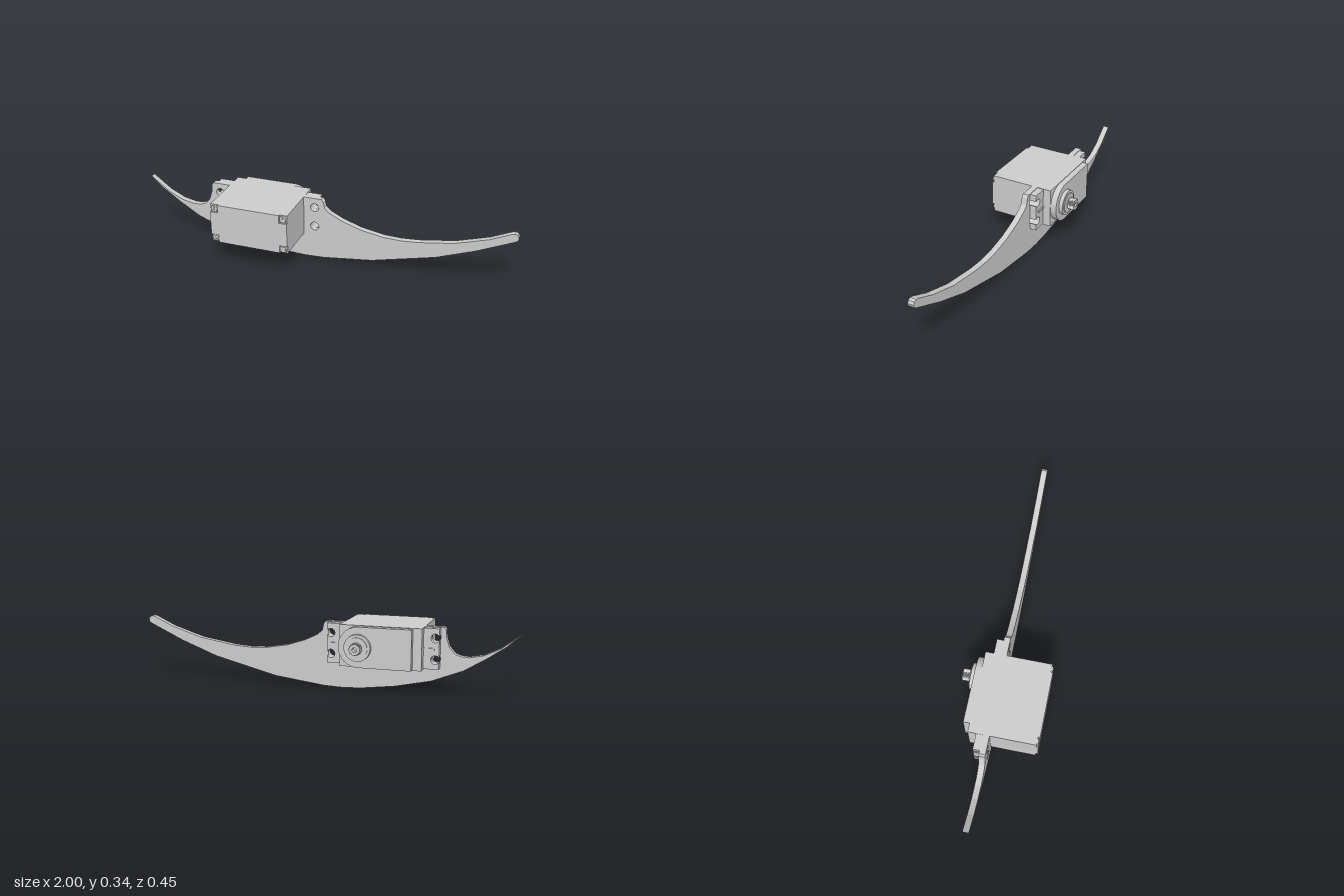
import * as THREE from 'three';

const MAT = new THREE.MeshStandardMaterial({ color: 0xcccccc });
const CX = -0.32, CY = 0.237;      // centre of the servo case
const HW = 0.21, HH = 0.106;       // half width and height of the case
const SHAFT_X = -0.215;            // output shaft axis

const shapeOf = (pts) => new THREE.Shape(pts.map(([x, y]) => new THREE.Vector2(x, y)));

function hole(x, y, r) {
  const p = new THREE.Path();
  p.absarc(x, y, r, 0, Math.PI * 2, true);
  return p;
}

function add(parent, name, geometry) {
  const mesh = new THREE.Mesh(geometry, MAT);
  mesh.name = name;
  parent.add(mesh);
  return mesh;
}

// Extrude a shape between two z values
function slab(parent, name, shape, z0, z1) {
  const g = new THREE.ExtrudeGeometry(shape, { depth: z1 - z0, bevelEnabled: false, curveSegments: 16 });
  g.translate(0, 0, z0);
  return add(parent, name, g);
}

// Cylinder along z between two z values
function disc(parent, name, x, y, r0, r1, z0, z1, sides = 32) {
  const g = new THREE.CylinderGeometry(r1, r0, z1 - z0, sides);
  g.rotateX(Math.PI / 2);
  g.translate(x, y, (z0 + z1) / 2);
  return add(parent, name, g);
}

function box(parent, name, x0, x1, y0, y1, z0, z1) {
  const g = new THREE.BoxGeometry(x1 - x0, y1 - y0, z1 - z0);
  g.translate((x0 + x1) / 2, (y0 + y1) / 2, (z0 + z1) / 2);
  return add(parent, name, g);
}

// Curved blade-like plate with a notch for the case and four bolt holes
function buildPlate(parent) {
  const l = CX - HW, r = CX + HW, b = CY - HH;
  const shape = shapeOf([
    [-1, 0.325], [-0.93, 0.262], [-0.835, 0.197], [-0.725, 0.13], [-0.565, 0.067], [-0.38, 0.027],
    [-0.2, 0.004], [-0.1, 0], [0, 0.004], [0.265, 0.037], [0.6, 0.12], [0.8, 0.195],
    [0.985, 0.279], [0.997, 0.288], [1, 0.302], [0.993, 0.315], [0.98, 0.321], [0.965, 0.318],
    [0.86, 0.27], [0.69, 0.217], [0.5, 0.187], [0.41, 0.181], [0.32, 0.184], [0.2, 0.205],
    [0.1, 0.238], [0.03, 0.272], [0.005, 0.295], [-0.003, 0.33], [-0.015, 0.343],
    [r, 0.343], [r, b], [l, b], [l, 0.343],
    [-0.625, 0.343], [-0.634, 0.333], [-0.638, 0.29], [-0.652, 0.245], [-0.68, 0.212],
    [-0.71, 0.201], [-0.75, 0.198], [-0.82, 0.212], [-0.9, 0.25],
  ]);
  for (const x of [-0.587, -0.05]) for (const y of [0.183, 0.291]) shape.holes.push(hole(x, y, 0.023));
  slab(parent, 'curvedPlate', shape, -0.05, -0.018);
}

function buildCase(parent) {
  // Main case and the front cover with notched corners
  box(parent, 'case', CX - HW, CX + HW, CY - HH, CY + HH, -0.127, 0.213);
  const n = 0.042, pts = [];
  for (const [sx, sy] of [[1, 1], [-1, 1], [-1, -1], [1, -1]]) {
    const corner = [
      [CX + sx * HW, CY + sy * (HH - n)],
      [CX + sx * (HW - n), CY + sy * (HH - n)],
      [CX + sx * (HW - n), CY + sy * HH],
    ];
    pts.push(...(sx * sy > 0 ? corner : corner.reverse()));
    // Screw with a crossed slot raised in each corner
    const x = CX + sx * (HW - 0.022), y = CY + sy * (HH - 0.022);
    disc(parent, 'coverScrew', x, y, 0.02, 0.017, 0.213, 0.22, 20);
    box(parent, 'screwCross', x - 0.011, x + 0.011, y - 0.002, y + 0.002, 0.219, 0.222);
    box(parent, 'screwCross', x - 0.002, x + 0.002, y - 0.011, y + 0.011, 0.219, 0.222);
  }
  slab(parent, 'frontCover', shapeOf(pts), 0.213, 0.223);

  // Gear cover, rounded around the output shaft
  const R = 0.103, cap = new THREE.Shape();
  cap.moveTo(-0.485, CY - R);
  cap.lineTo(SHAFT_X, CY - R);
  cap.absarc(SHAFT_X, CY, R, -Math.PI / 2, Math.PI / 2, false);
  cap.lineTo(-0.485, CY + R);
  slab(parent, 'gearCover', cap, -0.159, -0.127);
}

// Mounting ears with bolt slots open to the outer edge, and a small rib
function buildEar(parent, side) {
  const X = (d) => CX + side * d, y0 = 0.135, y1 = 0.34, r = 0.022;
  const inner = 0.2, outer = 0.288, hx = 0.2685, neck = 0.014;
  const pts = [[X(inner), y0], [X(outer), y0]];
  const a0 = Math.asin(neck / r);
  for (const cy of [0.183, 0.291]) {
    pts.push([X(outer), cy - neck]);
    for (let i = 0; i <= 16; i++) {
      const a = -a0 - (i / 16) * (Math.PI * 2 - 2 * a0);
      pts.push([X(hx + r * Math.cos(a)), cy + r * Math.sin(a)]);
    }
    pts.push([X(outer), cy + neck]);
  }
  pts.push([X(outer), y1], [X(inner), y1]);
  slab(parent, 'mountingEar', shapeOf(pts), -0.085, -0.05);
  const a = X(0.205), b = X(0.265);
  box(parent, 'earRib', Math.min(a, b), Math.max(a, b), CY - 0.005, CY + 0.005, -0.091, -0.084);
}

// Stepped boss and splined output shaft
function buildShaft(parent) {
  disc(parent, 'bossBase', SHAFT_X, CY, 0.068, 0.068, -0.179, -0.158, 40);
  disc(parent, 'bossStep', SHAFT_X, CY, 0.054, 0.054, -0.184, -0.178, 40);
  disc(parent, 'shaftNeck', SHAFT_X, CY, 0.024, 0.024, -0.19, -0.183);
  const teeth = 24, pts = [];
  for (let i = 0; i < teeth * 2; i++) {
    const a = (i / (teeth * 2)) * Math.PI * 2, r = i % 2 ? 0.026 : 0.031;
    pts.push([SHAFT_X + r * Math.cos(a), CY + r * Math.sin(a)]);
  }
  const spline = shapeOf(pts);
  spline.holes.push(hole(SHAFT_X, CY, 0.012));
  slab(parent, 'splinedShaft', spline, -0.224, -0.188);
}

export function createModel() {
  const model = new THREE.Group();
  model.name = 'servoWithCurvedPlate';
  const servo = new THREE.Group();
  servo.name = 'servo';
  model.add(servo);
  buildPlate(model);
  buildCase(servo);
  for (const side of [-1, 1]) buildEar(servo, side);
  buildShaft(servo);
  return model;
}
